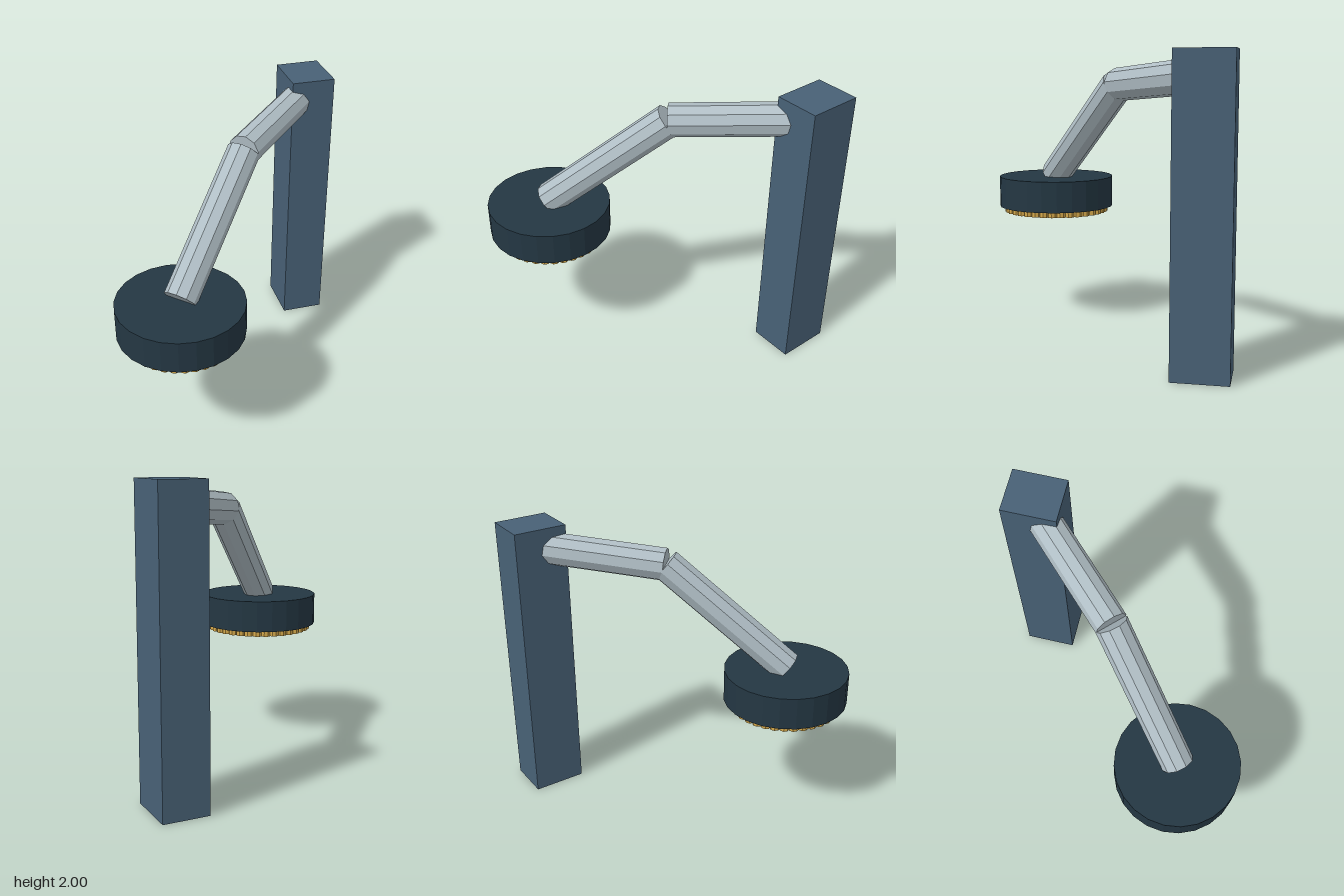
import * as THREE from 'three';

const mat = (name, color) => new THREE.MeshStandardMaterial({ name, color, flatShading: true });

export function createModel() {
  const model = new THREE.Group();
  model.name = 'wallLamp';
  const slate = mat('slate blue', 0x486176);
  const navy = mat('dark navy', 0x243743);
  const steel = mat('light steel', 0xb0bec5);
  const gold = mat('gold', 0xd4a84b);

  const add = (name, geometry, material, x, y, z, parent = model) => {
    const mesh = new THREE.Mesh(geometry, material);
    mesh.name = name;
    mesh.position.set(x, y, z);
    parent.add(mesh);
    return mesh;
  };

  // Upright post
  add('post', new THREE.BoxGeometry(0.31, 2, 0.37), slate, 0.755, 1, -0.745);

  // Two-segment arm: each segment is a capped cylinder between two joints
  const joints = [[-0.49, 1.09, 0.5], [0.1, 1.775, -0.09], [0.755, 1.845, -0.745]]
    .map((p) => new THREE.Vector3(...p));
  ['lowerArm', 'upperArm'].forEach((name, i) => {
    const dir = joints[i + 1].clone().sub(joints[i]);
    const mid = joints[i].clone().add(joints[i + 1]).multiplyScalar(0.5);
    const arm = add(name, new THREE.CylinderGeometry(0.112, 0.112, dir.length(), 10), steel, mid.x, mid.y, mid.z);
    arm.quaternion.setFromUnitVectors(new THREE.Vector3(0, 1, 0), dir.normalize());
  });

  // Round head
  add('head', new THREE.CylinderGeometry(0.427, 0.427, 0.225, 24), navy, -0.49, 0.9625, 0.5);

  // Ring of small studs below the head
  const ring = new THREE.Group();
  ring.name = 'studRing';
  ring.position.set(-0.49, 0.83, 0.5);
  model.add(ring);
  const stud = new THREE.CylinderGeometry(0.035, 0.035, 0.044, 8);
  const count = 36;
  for (let i = 0; i < count; i++) {
    const a = (i / count) * Math.PI * 2;
    add('stud', stud, gold, Math.cos(a) * 0.356, 0, Math.sin(a) * 0.356, ring);
  }
  return model;
}
